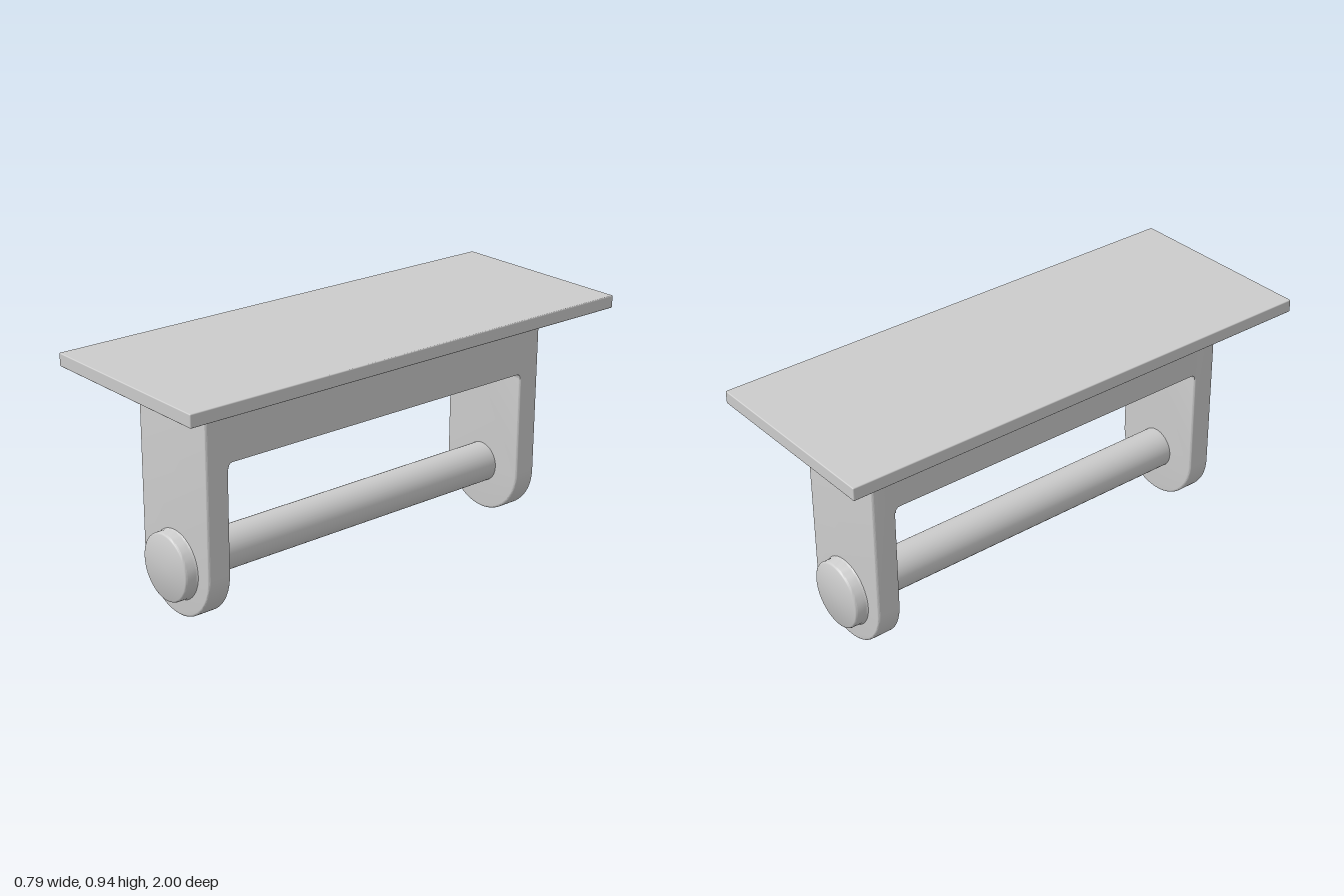
import * as THREE from 'three';
import { toCreasedNormals } from 'three/addons/utils/BufferGeometryUtils.js';
import { RoundedBoxGeometry } from 'three/addons/geometries/RoundedBoxGeometry.js';

const material = new THREE.MeshStandardMaterial({ color: 0xcccccc });
const HALF_W = 0.197;     // half width of legs and bridge
const AXIS_Y = -0.709;    // rod axis, measured from the plate centre
const LEG_IN = 0.705, LEG_OUT = 0.8;

function part(name, geometry) {
  const mesh = new THREE.Mesh(geometry, material);
  mesh.name = name;
  return mesh;
}

// Leg: round-bottomed slab with softened edges
function legGeometry() {
  const b = 0.008, r = HALF_W - b;
  const s = new THREE.Shape();
  s.moveTo(r, -0.02);
  s.lineTo(-r, -0.02);
  s.lineTo(-r, AXIS_Y);
  s.absarc(0, AXIS_Y, r, Math.PI, 2 * Math.PI, false);
  s.closePath();
  const g = new THREE.ExtrudeGeometry(s, {
    depth: LEG_OUT - LEG_IN - 2 * b, bevelEnabled: true,
    bevelSize: b, bevelThickness: b, bevelSegments: 3, curveSegments: 32,
  });
  g.translate(0, 0, LEG_IN + b);
  return toCreasedNormals(g, 0.6);
}

// Bridge: solid block between the legs, with small fillets at the inner corners
function bridgeGeometry() {
  const bottom = -0.283, f = 0.02, end = 0.75;
  const s = new THREE.Shape();
  s.moveTo(-end, -0.02);
  s.lineTo(-end, bottom - f);
  s.lineTo(-LEG_IN, bottom - f);
  s.quadraticCurveTo(-LEG_IN, bottom, -LEG_IN + f, bottom);
  s.lineTo(LEG_IN - f, bottom);
  s.quadraticCurveTo(LEG_IN, bottom, LEG_IN, bottom - f);
  s.lineTo(end, bottom - f);
  s.lineTo(end, -0.02);
  s.closePath();
  const g = new THREE.ExtrudeGeometry(s, { depth: 2 * HALF_W, bevelEnabled: false, curveSegments: 8 });
  g.translate(0, 0, -HALF_W);
  g.rotateY(-Math.PI / 2);
  return toCreasedNormals(g, 0.6);
}

// End cap: disc with a rounded rim and a slight fillet at its foot
function capGeometry() {
  const profile = [
    [0.136, -0.002], [0.132, 0.002], [0.13, 0.007], [0.13, 0.042],
    [0.128, 0.047], [0.123, 0.05], [0, 0.05],
  ].map(([r, y]) => new THREE.Vector2(r, y));
  const g = new THREE.LatheGeometry(profile, 48);
  g.rotateX(Math.PI / 2);
  g.translate(0, AXIS_Y, LEG_OUT);
  return toCreasedNormals(g, 0.7);
}

export function createModel() {
  const model = new THREE.Group();
  model.name = 'barHolder';

  // The whole holder leans very slightly
  const body = new THREE.Group();
  body.name = 'body';
  body.position.set(0, 0.911, 0);
  body.rotation.set(0.004, -0.004, -0.012);
  model.add(body);

  body.add(part('mountingPlate', new RoundedBoxGeometry(0.78, 0.05, 1.994, 2, 0.004)));
  body.add(part('bridge', bridgeGeometry()));

  // Legs and end caps, front and back
  const leg = legGeometry(), cap = capGeometry();
  for (const [end, turn] of [['front', 0], ['back', Math.PI]]) {
    const side = new THREE.Group();
    side.name = end + 'End';
    side.rotation.y = turn;
    side.add(part(end + 'Leg', leg), part(end + 'Cap', cap));
    body.add(side);
  }

  // Rod between the legs
  const rod = part('rod', new THREE.CylinderGeometry(0.08, 0.08, 1.46, 40));
  rod.rotation.x = Math.PI / 2;
  rod.position.y = AXIS_Y;
  body.add(rod);

  return model;
}
